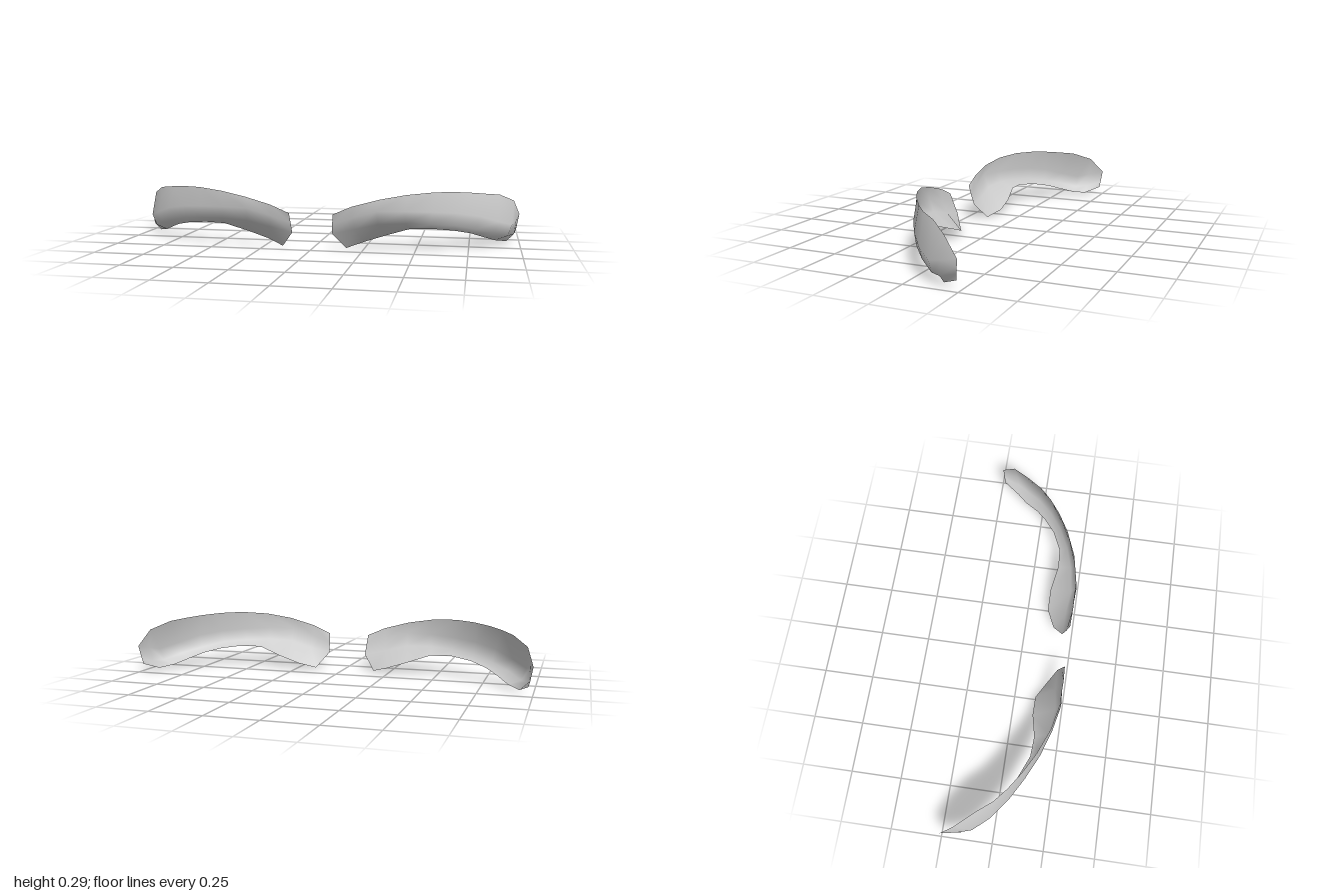
import * as THREE from 'three';

// Cross-sections from the inner end to the outer end:
// tucked lower edge, fold, waist, upper edge
const sections = [
  [[0.16, 0.003, 0.15], [0.1, 0.08, 0.2], [0.103, 0.13, 0.219], [0.108, 0.18, 0.235]],
  [[0.245, 0.03, 0.107], [0.21, 0.105, 0.203], [0.2, 0.165, 0.235], [0.2, 0.22, 0.238]],
  [[0.35, 0.065, 0.107], [0.325, 0.135, 0.216], [0.32, 0.2, 0.242], [0.33, 0.256, 0.234]],
  [[0.47, 0.105, 0.131], [0.455, 0.14, 0.198], [0.45, 0.2, 0.215], [0.46, 0.279, 0.208]],
  [[0.57, 0.108, 0.125], [0.57, 0.135, 0.165], [0.578, 0.195, 0.173], [0.59, 0.289, 0.156]],
  [[0.68, 0.095, 0.078], [0.685, 0.125, 0.114], [0.695, 0.185, 0.117], [0.69, 0.286, 0.1]],
  [[0.76, 0.075, 0.022], [0.785, 0.1, 0.053], [0.8, 0.165, 0.055], [0.77, 0.278, 0.045]],
  [[0.82, 0.05, -0.03], [0.87, 0.075, -0.02], [0.893, 0.13, -0.02], [0.835, 0.268, -0.012]],
  [[0.878, 0.024, -0.1], [0.937, 0.047, -0.1], [0.96, 0.105, -0.1], [0.895, 0.257, -0.09]],
  [[0.935, 0.012, -0.155], [0.972, 0.05, -0.155], [0.982, 0.12, -0.165], [0.968, 0.218, -0.178]],
  [[0.98, 0.045, -0.235], [0.988, 0.075, -0.239], [0.994, 0.107, -0.243], [1, 0.14, -0.247]],
];

// Smooth sheet through the sections; side is +1 (left) or -1 (right)
function browGeometry(side) {
  const positions = sections.flat().flatMap(([x, y, z]) => [x * side, y, z]);
  const index = [];
  const n = sections[0].length;
  for (let i = 0; i < sections.length - 1; i++) {
    for (let j = 0; j < n - 1; j++) {
      const a = i * n + j, b = a + n, c = b + 1, d = a + 1;
      if (side > 0) index.push(a, b, c, a, c, d);
      else index.push(a, c, b, a, d, c);
    }
  }
  const geometry = new THREE.BufferGeometry();
  geometry.setAttribute('position', new THREE.Float32BufferAttribute(positions, 3));
  geometry.setIndex(index);
  geometry.computeVertexNormals();
  return geometry;
}

export function createModel() {
  const group = new THREE.Group();
  group.name = 'eyebrows';
  const grey = new THREE.MeshStandardMaterial({ color: 0xcccccc, side: THREE.DoubleSide });
  grey.name = 'light grey';
  for (const [name, side] of [['leftEyebrow', 1], ['rightEyebrow', -1]]) {
    const brow = new THREE.Mesh(browGeometry(side), grey);
    brow.name = name;
    group.add(brow);
  }
  return group;
}
